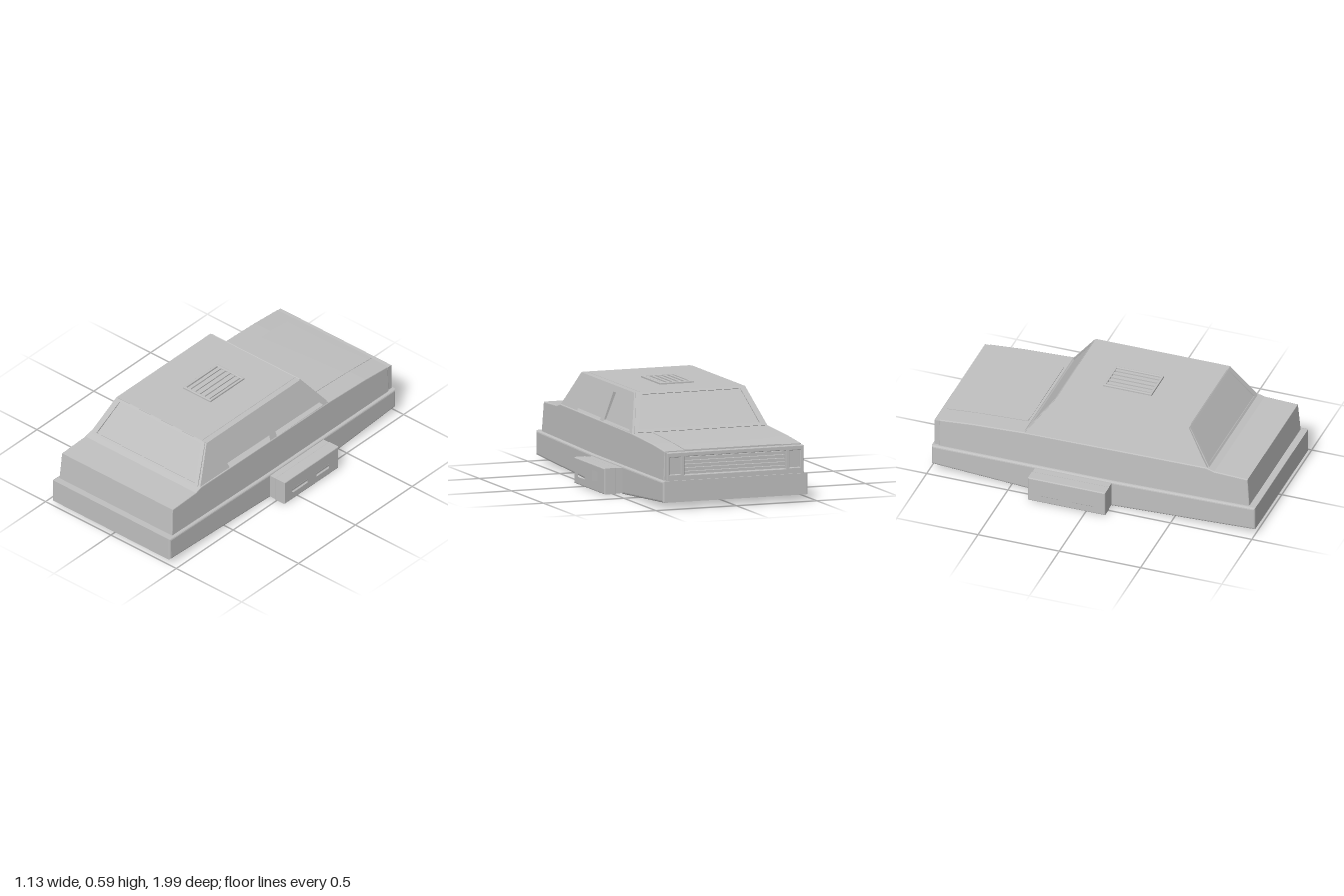
import * as THREE from 'three';

const paint = new THREE.MeshStandardMaterial({ color: 0xc0c0c0 });
paint.name = 'plain grey';

const toPath = (pts, P = THREE.Path) => new P(pts.map(([a, b]) => new THREE.Vector2(a, b)));
const rect = (a0, a1, b0, b1) => [[a0, b0], [a1, b0], [a1, b1], [a0, b1]];

// Extrusion centred on its own depth axis, keeping its outline when bevelled
function extrude(outline, holes, depth, bevel = 0) {
  const shape = toPath(outline, THREE.Shape);
  shape.holes = holes.map((h) => toPath(h));
  const geo = new THREE.ExtrudeGeometry(shape, {
    depth: depth - 2 * bevel, bevelEnabled: bevel > 0, bevelThickness: bevel,
    bevelSize: bevel, bevelOffset: -bevel, bevelSegments: 3,
  });
  return geo.translate(0, 0, -(depth - 2 * bevel) / 2);
}

// Outline given as [z, y], extruded across x
function sideways(outline, holes, width, bevel) {
  const flip = (pts) => pts.map(([z, y]) => [-z, y]);
  return extrude(flip(outline), holes.map(flip), width, bevel).rotateY(Math.PI / 2);
}

// Move every vertex by a rule
function reshape(geo, rule) {
  const p = geo.attributes.position;
  const v = new THREE.Vector3();
  for (let i = 0; i < p.count; i++) {
    v.fromBufferAttribute(p, i);
    rule(v);
    p.setXYZ(i, v.x, v.y, v.z);
  }
  geo.computeVertexNormals();
  return geo;
}

export function createModel() {
  const car = new THREE.Group();
  car.name = 'car';
  const add = (name, geo, x = 0, y = 0, z = 0) => {
    const mesh = new THREE.Mesh(geo, paint);
    mesh.name = name;
    mesh.position.set(x, y, z);
    car.add(mesh);
    return mesh;
  };
  const box = (name, w, h, d, x, y, z) => add(name, new THREE.BoxGeometry(w, h, d), x, y, z);

  // Bumper band wrapping the whole base
  add('bumperBand', sideways([
    [1, 0.035], [0.12, 0], [-0.36, 0], [-0.99, 0.04], [-0.99, 0.165], [0.12, 0.165], [1, 0.18],
  ], [], 0.902, 0.012));

  // Main body, narrowing slightly upwards
  const body = sideways([
    [0.962, 0.14], [0.945, 0.352], [0.74, 0.36], [0.69, 0.375], [-0.43, 0.364],
    [-0.75, 0.35], [-0.95, 0.334], [-0.95, 0.14],
  ], [], 0.866, 0.006);
  add('body', reshape(body, (v) => { v.x *= 1 - 0.1 * (v.y - 0.14); }));

  // Hood panel
  const hood = reshape(new THREE.BoxGeometry(0.6, 0.01, 0.5, 1, 1, 4).translate(0, 0, -0.7),
    (v) => { v.y += 0.362 - (v.z < -0.75 ? 0.014 + (-0.75 - v.z) * 0.08 : (-0.43 - v.z) * 0.044); });
  add('hoodPanel', hood);

  // Nose surround with openings for the grille and lamps
  const nose = extrude(rect(-0.424, 0.424, 0.15, 0.328), [
    rect(-0.315, 0.315, 0.195, 0.302),
    rect(-0.405, -0.338, 0.2, 0.3),
    rect(0.338, 0.405, 0.2, 0.3),
  ], 0.036, 0.004);
  add('noseSurround', nose, 0, 0, -0.964);
  for (let i = 0; i < 5; i++) box('grilleSlat', 0.64, 0.011, 0.02, 0, 0.208 + i * 0.021, -0.963);
  for (const s of [-1, 1]) box('headlamp', 0.08, 0.11, 0.02, s * 0.371, 0.25, -0.956);

  // Cabin core: glass and roof as one tapered block
  const cabin = reshape(new THREE.BoxGeometry(2, 1, 2), (v) => {
    const top = v.y > 0;
    v.x *= top ? 0.307 : 0.384;
    v.z = v.z > 0 ? (top ? 0.553 : 0.7) : (top ? -0.268 : -0.428);
    v.y = top ? 0.577 : 0.36;
  });
  add('cabin', cabin);

  // Leaning side frames with two window openings each
  const depth = 0.04;
  for (const s of [-1, 1]) {
    const frame = sideways(
      [[0.705, 0.36], [0.66, 0.42], [0.555, 0.575], [-0.27, 0.575], [-0.43, 0.36]],
      [
        [[0.435, 0.368], [0.445, 0.41], [0.425, 0.49], [0.39, 0.54], [0.06, 0.54], [0.08, 0.368]],
        [[0.022, 0.368], [0.022, 0.54], [-0.24, 0.54], [-0.385, 0.368]],
      ], depth);
    reshape(frame, (v) => { v.x += s * (0.42 - depth / 2 - (v.y - 0.365) * 0.36); });
    add(s > 0 ? 'leftWindowFrame' : 'rightWindowFrame', frame);
  }

  // Window trim on the windscreen and rear glass
  const trims = [[-0.43, 0.364, -0.27, 0.575], [0.703, 0.364, 0.555, 0.575]];
  for (const [z0, y0, z1, y1] of trims) {
    const dz = z1 - z0, dy = y1 - y0, len = Math.hypot(dz, dy);
    const trim = extrude(
      [[-0.405, 0], [0.405, 0], [0.335, len], [-0.335, len]],
      [[[-0.375, 0.02], [0.375, 0.02], [0.31, len - 0.016], [-0.31, len - 0.016]]], 0.008);
    const mesh = add(z0 < 0 ? 'windscreenTrim' : 'rearGlassTrim', trim, 0, y0, z0);
    mesh.rotation.x = Math.atan2(dz, dy);
  }

  // Roof vent with lengthwise slats
  const vent = extrude(rect(-0.11, 0.1, -0.24, 0.06), [rect(-0.095, 0.085, -0.225, 0.045)], 0.024, 0.003);
  add('roofVent', vent.rotateX(-Math.PI / 2), 0, 0.576, 0);
  for (let i = 0; i < 5; i++) box('ventSlat', 0.02, 0.012, 0.28, -0.077 + i * 0.036, 0.578, 0.09);

  // Side pods with two outlets each
  for (const s of [-1, 1]) {
    const side = s > 0 ? 'left' : 'right';
    const shell = sideways(rect(-0.355, 0.12, 0.004, 0.156), [
      rect(-0.09, 0.062, 0.042, 0.128),
      rect(-0.277, -0.155, 0.042, 0.128),
    ], 0.075, 0.006);
    add(side + 'PodShell', shell, s * 0.5255, 0, 0);
    box(side + 'PodCore', 0.1, 0.148, 0.47, s * 0.45, 0.08, -0.1175);
  }
  return car;
}
